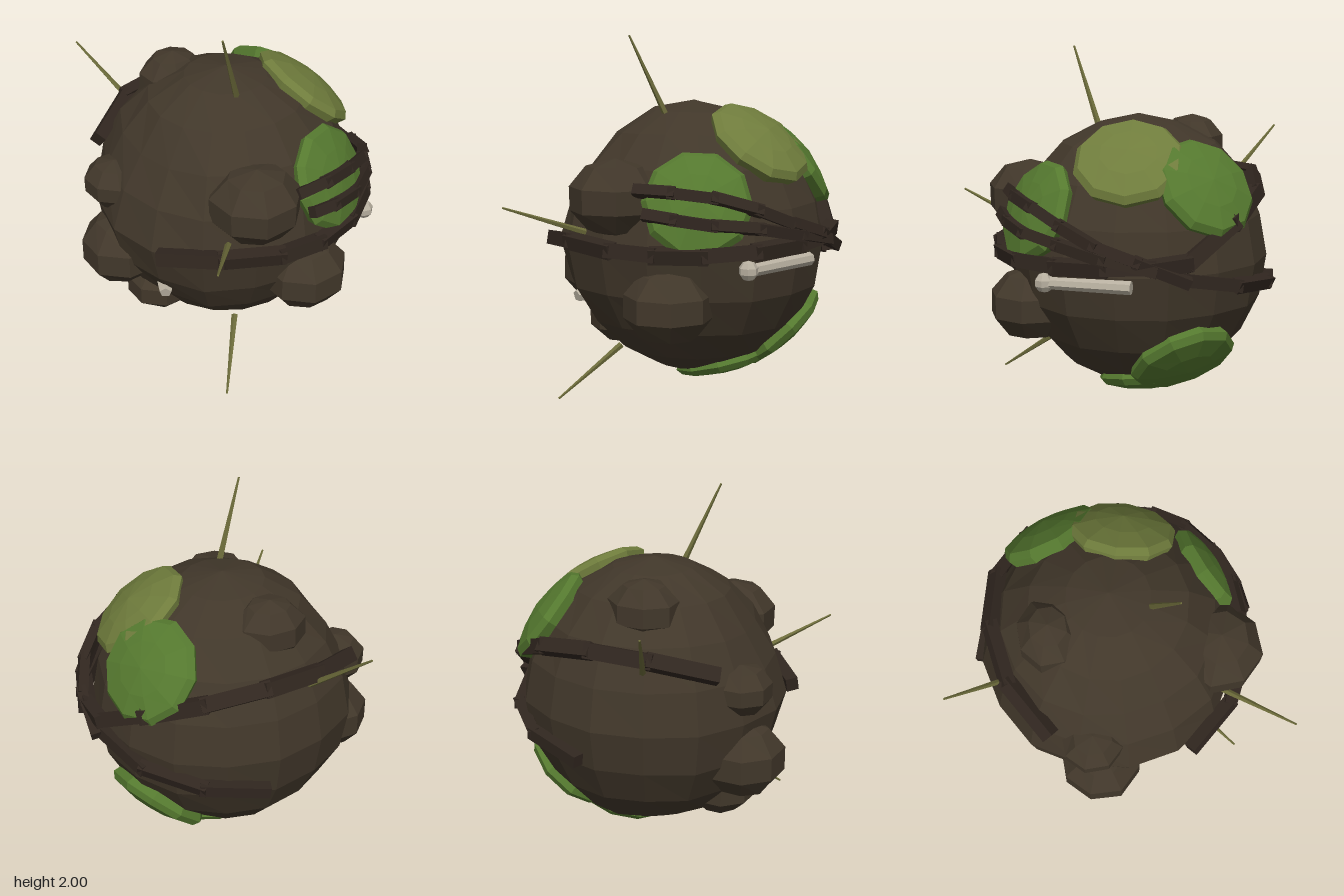
import * as THREE from 'three';

const CENTER = new THREE.Vector3(0, 0.83, 0);
const UP = new THREE.Vector3(0, 1, 0);

const mat = (color) => new THREE.MeshStandardMaterial({ color, flatShading: true, roughness: 1 });
const V = (p) => new THREE.Vector3(...p);

// Small smooth displacement that depends only on position, so seams stay closed
function roughen(geo, amount, seed) {
  const p = geo.attributes.position;
  const v = new THREE.Vector3();
  for (let i = 0; i < p.count; i++) {
    v.fromBufferAttribute(p, i);
    const w = Math.sin(v.x * 11 + seed) + Math.sin(v.y * 9 + seed * 2.3) + Math.sin(v.z * 13 + seed * 1.7);
    v.multiplyScalar(1 + (amount * w) / 3);
    p.setXYZ(i, v.x, v.y, v.z);
  }
  geo.computeVertexNormals();
  return geo;
}

// Broad swellings and dents: direction, then height
function dent(geo, dents) {
  const p = geo.attributes.position;
  const v = new THREE.Vector3();
  for (let i = 0; i < p.count; i++) {
    v.fromBufferAttribute(p, i);
    let k = 1;
    for (const [dir, h] of dents) k += h * Math.exp(-((v.angleTo(V(dir)) / 0.4) ** 2));
    v.multiplyScalar(k);
    p.setXYZ(i, v.x, v.y, v.z);
  }
  return geo;
}

// Point on a sphere of radius r about the ball's centre, in the direction of p
const onBall = (p, r) => V(p).sub(CENTER).setLength(r).add(CENTER);

export function createModel() {
  const model = new THREE.Group();
  const earth = mat(0x41372a);
  const moss = mat(0x55792f);
  const dryMoss = mat(0x6f7c3c);
  const root = mat(0x30261f);
  const thornMat = mat(0x6c6b3a);
  const boneMat = mat(0xb8b0a0);

  const add = (name, geo, material, parent = model) => {
    const m = new THREE.Mesh(geo, material);
    m.name = name;
    parent.add(m);
    return m;
  };

  // Main ball of earth
  const ball = dent(new THREE.SphereGeometry(1, 16, 10).scale(0.76, 0.775, 0.75), [
    [[-0.6, 0.42, 0.05], -0.08], [[-0.2, 0.75, 0], 0.025], [[-0.78, 0, 0.22], 0.04],
    [[0, -0.5, 0.55], -0.035], [[-0.6, -0.4, 0.15], -0.05],
  ]);
  add('earthBall', roughen(ball, 0.02, 1), earth).position.copy(CENTER);

  // Lumps: position, then radii
  const lumps = [
    [[-0.235, 1.13, 0.6], [0.27, 0.215, 0.26]],
    [[0.085, 0.565, 0.64], [0.265, 0.21, 0.255]],
    [[-0.635, 0.575, -0.15], [0.25, 0.22, 0.25]],
    [[-0.64, 1.0, -0.19], [0.18, 0.145, 0.19]],
    [[-0.12, 1.43, -0.35], [0.21, 0.175, 0.18]],
    [[-0.46, 0.31, -0.03], [0.2, 0.16, 0.2]],
  ];
  lumps.forEach(([pos, size], i) => {
    const geo = new THREE.SphereGeometry(1, 8, 5).rotateY(Math.PI / 8);
    const m = add('earthLump', roughen(geo, 0.05, i), earth);
    m.position.set(...pos);
    m.scale.set(...size);
  });

  // Moss patches: curved caps with a bevelled rim
  const patches = [
    [[0.265, 1.145, 0.68], 0.375, 0.82, moss],
    [[0.47, 1.445, 0.155], 0.385, 0.835, dryMoss],
    [[0.57, 1.29, -0.26], 0.375, 0.835, moss],
    [[0.54, 0.235, -0.165], 0.385, 0.82, moss],
    [[0.2, 0.07, -0.02], 0.37, 0.815, moss],
  ];
  patches.forEach(([p, spread, r, material], i) => {
    const profile = [[0.7, 1], [r - 0.025, 1.03], [r, 0.9], [r, 0.5], [r + 0.005, 0]].map(
      ([rad, k]) => new THREE.Vector2(rad * Math.sin(spread * k), rad * Math.cos(spread * k)));
    const m = add('mossPatch', roughen(new THREE.LatheGeometry(profile, 10), 0.008, i), material);
    m.position.copy(CENTER);
    m.quaternion.setFromUnitVectors(UP, V(p).sub(CENTER).normalize());
  });

  // Roots wrapped round the ball, as chains of overlapping blocks
  function addRoot(name, points, radius, width, depth) {
    const group = new THREE.Group();
    group.name = name;
    model.add(group);
    const pts = points.map((p) => onBall(p, radius));
    for (let i = 0; i + 1 < pts.length; i++) {
      const mid = pts[i].clone().add(pts[i + 1]).multiplyScalar(0.5);
      const along = pts[i + 1].clone().sub(pts[i]);
      const length = along.length() + 0.045;
      along.normalize();
      const side = mid.clone().sub(CENTER).cross(along).normalize();
      const out = along.clone().cross(side);
      const block = add('rootBlock', new THREE.BoxGeometry(width, depth, length), root, group);
      block.position.copy(mid);
      block.quaternion.setFromRotationMatrix(new THREE.Matrix4().makeBasis(side, out, along));
      block.rotateZ(i % 2 ? 0.25 : -0.15);
    }
  }
  addRoot('beltRoot', [
    [-0.74, 0.845, 0.4], [-0.5, 0.885, 0.65], [-0.2, 0.875, 0.8], [0.06, 0.87, 0.83], [0.33, 0.87, 0.76],
    [0.58, 0.88, 0.6], [0.75, 0.89, 0.35], [0.83, 0.9, 0.1], [0.83, 0.92, -0.1],
  ], 0.808, 0.08, 0.072);
  addRoot('upperRoot', [
    [-0.05, 1.2, 0.75], [0.14, 1.2, 0.75], [0.36, 1.17, 0.68], [0.57, 1.1, 0.56],
    [0.72, 1.01, 0.4], [0.8, 0.93, 0.18], [0.83, 0.82, -0.08],
  ], 0.83, 0.06, 0.058);
  addRoot('middleRoot', [
    [0.02, 1.08, 0.8], [0.17, 1.065, 0.8], [0.37, 1.03, 0.72], [0.58, 1.0, 0.57], [0.74, 0.94, 0.35], [0.82, 0.88, 0.1],
  ], 0.83, 0.06, 0.058);
  addRoot('lowerBackRoot', [
    [0.83, 0.82, -0.08], [0.7, 0.745, -0.42], [0.43, 0.7, -0.67], [0.09, 0.655, -0.77],
  ], 0.785, 0.07, 0.065);
  addRoot('upperBackRoot', [
    [0.8, 0.91, -0.1], [0.68, 1.1, -0.4], [0.4, 1.23, -0.62], [0.05, 1.28, -0.69], [-0.3, 1.26, -0.64], [-0.6, 1.16, -0.44],
  ], 0.795, 0.085, 0.07);

  // Rod stretched between two points
  function addRod(name, from, to, r0, r1, sides, material) {
    const a = V(from), b = V(to);
    const dir = b.clone().sub(a);
    const m = add(name, new THREE.CylinderGeometry(r1, r0, dir.length(), sides), material);
    m.position.copy(a).add(b).multiplyScalar(0.5);
    m.quaternion.setFromUnitVectors(UP, dir.normalize());
  }

  // Thorns: root and tip
  const thorns = [
    [[-0.08, 1.54, 0.215], [-0.26, 2.0, 0.33]],
    [[-0.27, 0.27, 0.46], [-0.53, 0.01, 0.74]],
    [[-0.42, 0.93, 0.6], [-0.74, 1.1, 0.95]],
    [[-0.23, 1.14, -0.575], [-0.41, 1.49, -0.95]],
  ];
  for (const [base, tip] of thorns) addRod('thorn', base, tip, 0.019, 0.006, 5, thornMat);

  // Bone with a knobbed end, and a chip of another poking out
  addRod('boneShaft', [0.75, 0.785, 0.2], [0.54, 0.785, 0.62], 0.038, 0.034, 7, boneMat);
  add('boneKnob', new THREE.SphereGeometry(0.055, 7, 5), boneMat).position.set(0.53, 0.785, 0.63);
  addRod('boneChip', [-0.57, 0.5, 0.2], [-0.625, 0.485, 0.28], 0.055, 0.035, 5, boneMat);

  return model;
}
